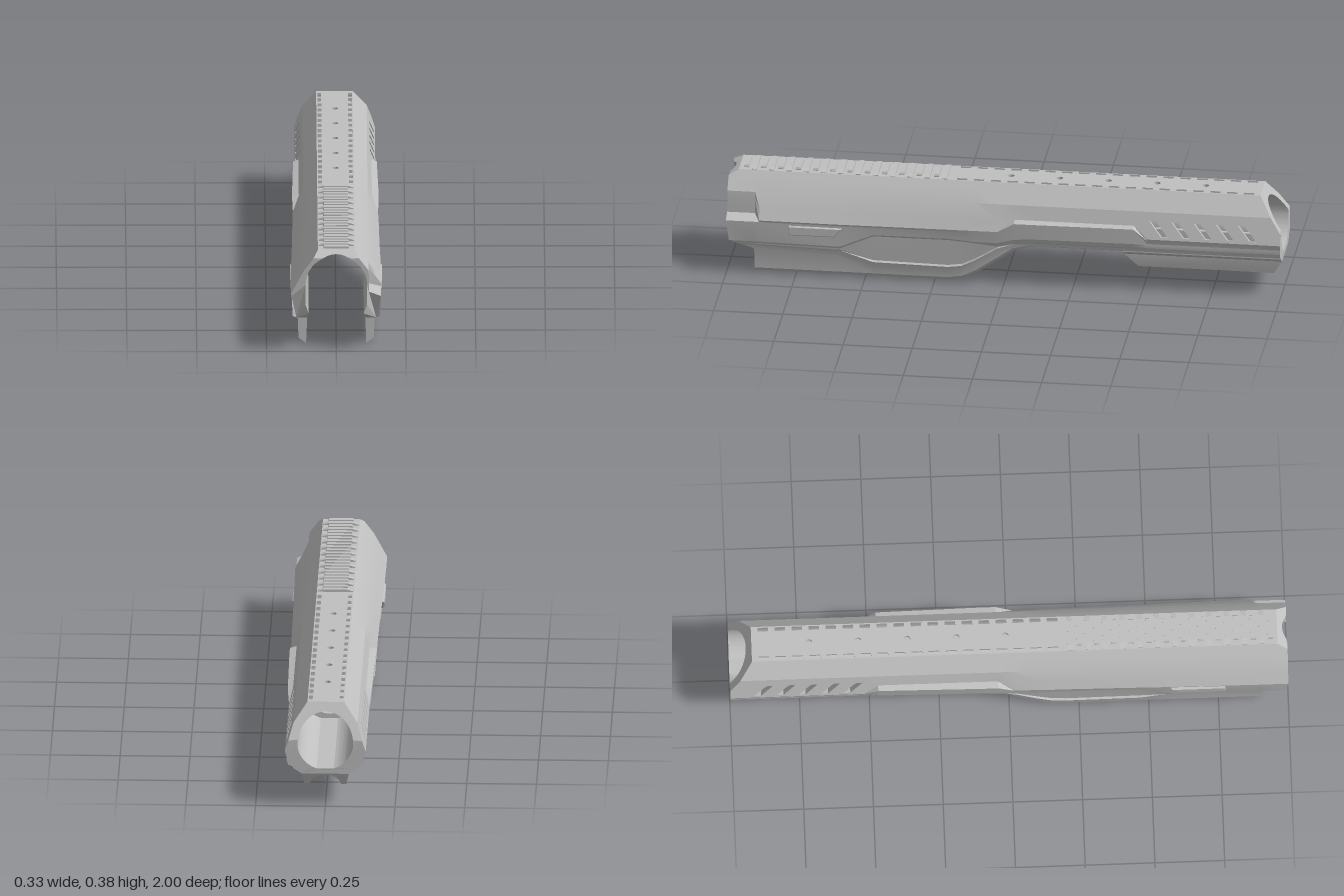
import * as THREE from 'three';
import { toCreasedNormals } from 'three/addons/utils/BufferGeometryUtils.js';

const { lerp, clamp } = THREE.MathUtils;

// Stations along the body: z, shell edge x and y, panel x, recess top y, recess x, panel base x and y, skirt bottom y
const stations = [
  [1, 0.163, 0.215, 0.16, 0.13, 0.151, 0.15, 0.118, 0],
  [0.9, 0.163, 0.215, 0.16, 0.13, 0.151, 0.15, 0.118, 0],
  [0.88, 0.163, 0.215, 0.16, 0.13, 0.151, 0.15, 0.117, 0],
  [0.59, 0.16, 0.213, 0.156, 0.124, 0.148, 0.147, 0.108, 0],
  [0.47, 0.158, 0.213, 0.154, 0.175, 0.142, 0.136, 0.072, 0],
  [0.2, 0.155, 0.213, 0.153, 0.175, 0.141, 0.136, 0.068, 0],
  [0.15, 0.155, 0.213, 0.153, 0.172, 0.141, 0.136, 0.075, 0.008],
  [0.1, 0.154, 0.213, 0.153, 0.168, 0.142, 0.137, 0.1, 0.033],
  [0.02, 0.153, 0.213, 0.152, 0.168, 0.144, 0.14, 0.15, 0.088],
  [-0.04, 0.131, 0.255, 0.155, 0.185, 0.146, 0.142, 0.168, 0.128],
  [-0.1, 0.131, 0.255, 0.155, 0.19, 0.146, 0.142, 0.173, 0.145],
  [-0.47, 0.131, 0.255, 0.15, 0.19, 0.143, 0.14, 0.173, 0.145],
  [-0.52, 0.145, 0.21, 0.143, 0.19, 0.139, 0.138, 0.173, 0.145],
  [-0.92, 0.145, 0.21, 0.143, 0.19, 0.139, 0.138, 0.173, 0.145],
  [-1, 0.145, 0.21, 0.143, 0.19, 0.139, 0.138, 0.173, 0.145],
];
const ARC = 12;

// Slanted nose and tail: limits z by height
function trimZ(z, y) {
  let front = 1;
  if (y < 0.1) front = 0.9;
  else if (y < 0.135) front = lerp(0.925, 1, (y - 0.1) / 0.035);
  else if (y > 0.35) front = lerp(1, 0.965, (y - 0.35) / 0.02);
  const back = y > 0.25 ? lerp(-1, -0.92, (y - 0.25) / 0.12) : -1;
  return clamp(z, back, front);
}

// Half cross-section from the top edge, down the outside and up the inside
function halfSection([z, xu, ys, xl, yt, xr, xe, yp, yb], side) {
  const t = clamp((1 - z) / 0.15, 0, 1);
  const r = lerp(0.11, 0.1, t), cy = lerp(0.25, 0.24, t);
  const notched = side > 0 && z >= 0.9;
  const pts = [
    [0.066, 0.37],
    [0.081, 0.35],
    [0.115, 0.305],
    notched ? [0.117, 0.285] : [lerp(0.115, xu, 0.58), lerp(0.305, ys, 0.58)],
    notched ? [0.118, 0.224] : [xu, ys],
    [xl, ys - 0.007],
    [xl - 0.004, yt],
    [xr, yt - 0.008],
    [xe, yp],
    [z > 0 ? 0.143 : 0.136, yp - 0.005],
    [z > 0 ? 0.138 : 0.133, Math.max(yp - 0.022, yb + 0.012)],
    [z > 0 ? 0.135 : 0.128, Math.min(yb + 0.02, yp - 0.016)],
    [0.108, yb],
    [0.104, Math.max(0.096, yb + 0.002)],
    [0.099, Math.max(0.142, yb + 0.004)],
    [r, 0.175],
  ];
  for (let i = 0; i < ARC; i++) {
    const a = (i / ARC) * Math.PI / 2;
    pts.push([r * Math.cos(a), cy + r * Math.sin(a)]);
  }
  return { pts: pts.map(([x, y]) => [side * x, y]), crown: [0, cy + r] };
}

function bodyGeometry() {
  const rings = stations.map((s) => {
    const right = halfSection(s, 1), left = halfSection(s, -1);
    return [...right.pts, right.crown, ...left.pts.reverse()]
      .map(([x, y]) => new THREE.Vector3(x, y, trimZ(s[0], y)));
  });
  const n = rings[0].length, out = [];
  const tri = (a, b, c) => {
    const area = b.clone().sub(a).cross(c.clone().sub(a)).length();
    if (area > 1e-9) out.push(a, b, c);
  };
  for (let k = 0; k < rings.length - 1; k++) {
    const A = rings[k], B = rings[k + 1];
    for (let i = 0; i < n - 1; i++) {
      // Leave room for the slotted side panels
      const edge = Math.min(i, n - 2 - i);
      if (stations[k][0] === -0.52 && (edge === 2 || edge === 3)) continue;
      tri(A[i], B[i + 1], B[i]);
      tri(A[i], A[i + 1], B[i + 1]);
    }
  }
  // End faces, split where their slope changes: pairs of outer and inner points
  const crown = (n - 1) / 2;
  const cap = (ring, splits) => {
    const cuts = [[0, crown], ...splits, [12, 12]];
    for (const half of [ring, [...ring].reverse()]) {
      for (let k = 0; k < cuts.length - 1; k++) {
        const [o0, i0] = cuts[k], [o1, i1] = cuts[k + 1];
        const piece = [...half.slice(o0, o1 + 1), ...half.slice(Math.max(i1, o1 + 1), i0 + 1)];
        const flat = piece.map((p) => new THREE.Vector2(p.x, p.y));
        for (const [a, b, c] of THREE.ShapeUtils.triangulateShape(flat, [])) tri(piece[a], piece[b], piece[c]);
      }
    }
    tri(ring[0], ring[n - 1], ring[crown]);
  };
  cap(rings[0], [[1, 25], [9, 14], [10, 13]]);
  cap(rings[rings.length - 1], [[3, 17]]);
  return toCreasedNormals(new THREE.BufferGeometry().setFromPoints(out), 0.25);
}

const polygon = (pts, Type = THREE.Shape) => new Type(pts.map(([x, y]) => new THREE.Vector2(x, y)));
const rect = (x, y, w, h) => [[x - w / 2, y - h / 2], [x + w / 2, y - h / 2], [x + w / 2, y + h / 2], [x - w / 2, y + h / 2]];
const extrude = (shape, depth) =>
  new THREE.ExtrudeGeometry(shape, { depth, bevelEnabled: false, curveSegments: 24 });

export function createModel() {
  const group = new THREE.Group();
  const grey = new THREE.MeshStandardMaterial({ color: 0xc0c0c0, side: THREE.DoubleSide });
  grey.name = 'light grey';
  const add = (name, geometry, parent = group) => {
    const mesh = new THREE.Mesh(geometry, grey);
    mesh.name = name;
    parent.add(mesh);
    return mesh;
  };

  add('outerShell', bodyGeometry());

  // Top strip with screw holes and two rows of small pockets
  const top = polygon([[-0.066, -0.965], [0.066, -0.965], [0.066, 0.92], [-0.066, 0.92]]);
  for (let i = 0; i < 5; i++) {
    top.holes.push(new THREE.Path().absarc(0, 0.01 + i * 0.176, 0.012, 0, Math.PI * 2, true));
  }
  for (let i = 0; i < 18; i++) {
    for (const s of [-1, 1]) top.holes.push(polygon(rect(s * 0.055, -0.16 + i * 0.061, 0.014, 0.038), THREE.Path));
  }
  const strip = add('topStrip', extrude(top, 0.01));
  strip.rotation.x = -Math.PI / 2;
  strip.position.y = 0.36;

  // Raised grip ribs on the front half of the top, every second one wider
  for (let i = 0; i < 24; i++) {
    const w = i % 2 ? 0.046 : 0.064;
    const rib = add('topRib', extrude(polygon([[-w, 0.368], [w, 0.368], [w, 0.373], [0.043, 0.379], [-0.043, 0.379], [-w, 0.373]]), 0.019));
    rib.position.z = 0.213 + i * 0.0312;
  }

  // Parts found on both flanks
  for (const side of [1, -1]) {
    const flank = new THREE.Group();
    flank.name = side > 0 ? 'leftFlank' : 'rightFlank';
    flank.scale.x = side;
    group.add(flank);

    // Rear panel with five slanted vents
    const c = new THREE.Vector3(0.145, 0.21, 0), b = new THREE.Vector3(0.115, 0.305, 0);
    const up = b.clone().sub(c), height = up.length();
    up.normalize();
    const normal = new THREE.Vector3(up.y, -up.x, 0);
    const panel = polygon([[0.52, 0], [0.92, 0], [0.92, height], [0.52, height]]);
    for (let i = 0; i < 5; i++) {
      const m = 0.56 + i * 0.08;
      panel.holes.push(polygon([[m + 0.01, 0.01], [m + 0.034, 0.01], [m - 0.01, 0.066], [m - 0.034, 0.066]], THREE.Path));
    }
    const vents = extrude(panel, 0.025);
    vents.applyMatrix4(new THREE.Matrix4()
      .makeBasis(new THREE.Vector3(0, 0, -1), up, normal)
      .setPosition(c.addScaledVector(normal, -0.025)));
    add('ventPanel', vents, flank);

    // Bevelled pad near the nose
    const pad = new THREE.ExtrudeGeometry(
      polygon([[-0.77, 0.167], [-0.61, 0.167], [-0.585, 0.195], [-0.77, 0.195]]),
      { depth: 0.012, bevelEnabled: true, bevelThickness: 0.005, bevelSize: 0.004, bevelSegments: 1 });
    pad.rotateY(Math.PI / 2);
    pad.translate(0.148, 0, 0);
    add('sidePad', pad, flank);
  }

  // Closed floor beneath the rear bore
  const floor = new THREE.Shape();
  floor.moveTo(-0.115, 0.145);
  floor.lineTo(-0.085, 0.125);
  floor.lineTo(0.085, 0.125);
  floor.lineTo(0.115, 0.145);
  floor.lineTo(0.115, 0.24);
  floor.lineTo(0.1, 0.24);
  floor.absarc(0, 0.24, 0.1, 0, -Math.PI, true);
  floor.lineTo(-0.115, 0.24);
  add('rearFloor', toCreasedNormals(extrude(floor, 0.57), 0.4)).position.z = -1;

  // Inner collar that narrows the bore
  const collar = new THREE.Shape().absarc(0, 0.237, 0.106, 0, Math.PI * 2, false);
  collar.holes.push(new THREE.Path().absarc(0, 0.237, 0.075, 0, Math.PI * 2, true));
  add('boreCollar', toCreasedNormals(extrude(collar, 0.05), 0.4)).position.z = -0.48;

  // Grooved rail under the rear, with sloping ends
  const rail = new THREE.Shape();
  rail.moveTo(-0.085, 0.145);
  rail.lineTo(-0.085, 0.125);
  rail.lineTo(-0.075, 0.075);
  rail.lineTo(-0.058, 0.075);
  rail.absarc(0, 0.062, 0.058, Math.PI - 0.22, 0.22, true);
  rail.lineTo(0.075, 0.075);
  rail.lineTo(0.085, 0.125);
  rail.lineTo(0.085, 0.145);
  const railGeometry = extrude(rail, 1);
  const p = railGeometry.attributes.position;
  for (let i = 0; i < p.count; i++) {
    const t = clamp((0.125 - p.getY(i)) / 0.05, 0, 1);
    p.setZ(i, lerp(-1 + 0.03 * t, -0.43 - 0.05 * t, p.getZ(i)));
  }
  add('lowerRail', toCreasedNormals(railGeometry, 0.4));

  return group;
}
